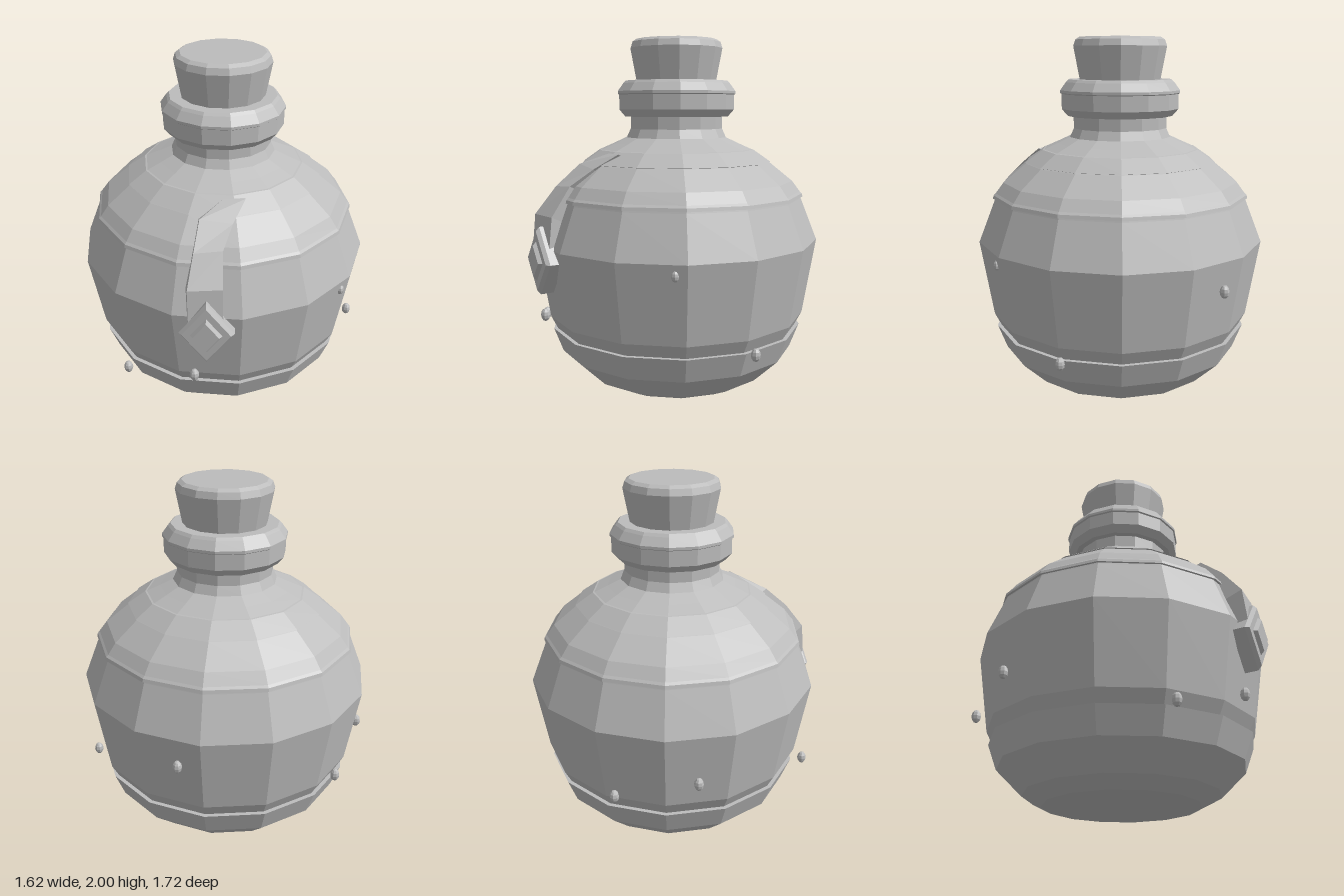
import * as THREE from 'three';

const SIDES = 14;
const CZ = -0.03; // bottle axis

export function createModel() {
  const model = new THREE.Group();
  model.name = 'roundBottle';
  const grey = new THREE.MeshStandardMaterial({ color: 0xbcbcbc });
  grey.name = 'grey';
  grey.flatShading = true;

  const add = (name, geometry, parent = model) => {
    const mesh = new THREE.Mesh(geometry, grey);
    mesh.name = name;
    parent.add(mesh);
    return mesh;
  };

  // Turned part from [radius, height] pairs, bottom to top
  const turned = (name, profile) => {
    const pts = profile.map(([r, y]) => new THREE.Vector2(r, y));
    add(name, new THREE.LatheGeometry(pts, SIDES)).position.z = CZ;
  };

  // Bottle shells
  turned('baseCup', [[0, 0], [0.435, 0], [0.545, 0.055], [0.69, 0.195], [0.743, 0.335], [0.71, 0.335]]);
  turned('belly', [[0.69, 0.3], [0.72, 0.335], [0.758, 0.41], [0.83, 0.85], [0.735, 1.09], [0.725, 1.12]]);
  turned('shoulder', [[0.71, 1.1], [0.745, 1.1], [0.74, 1.118], [0.728, 1.13], [0.683, 1.19],
    [0.553, 1.295], [0.545, 1.3]]);
  turned('upperShoulder', [[0.54, 1.295], [0.556, 1.3], [0.455, 1.37], [0.445, 1.372],
    [0.37, 1.405], [0.295, 1.44], [0.272, 1.49], [0.272, 1.57]]);

  // Lip and stopper
  turned('collar', [[0.26, 1.56], [0.305, 1.56], [0.34, 1.6], [0.34, 1.685], [0.348, 1.69],
    [0.348, 1.705], [0.315, 1.75], [0.3, 1.765], [0.23, 1.765]]);
  turned('stopper', [[0.225, 1.7], [0.235, 1.765], [0.27, 1.95], [0.258, 1.985], [0.235, 2], [0, 2]]);

  // Strap lying over the shoulder: left and right outer edge of each section
  const sections = [
    [[-0.05, 1.36, 0.43], [0.06, 1.36, 0.45]],
    [[-0.19, 1.30, 0.53], [-0.02, 1.28, 0.56]],
    [[-0.235, 1.18, 0.66], [-0.085, 1.19, 0.67]],
    [[-0.28, 1.03, 0.77], [-0.1, 1.03, 0.78]],
    [[-0.28, 0.85, 0.79], [-0.1, 0.85, 0.80]],
  ];
  const pos = [], index = [];
  for (const [l, r] of sections) {
    pos.push(...l, ...r, r[0], r[1] - 0.04, r[2] - 0.09, l[0], l[1] - 0.04, l[2] - 0.09);
  }
  for (let i = 0; i < sections.length - 1; i++) {
    for (let j = 0; j < 4; j++) {
      const a = i * 4 + j, b = i * 4 + (j + 1) % 4;
      index.push(a, a + 4, b, b, a + 4, b + 4);
    }
  }
  const e = (sections.length - 1) * 4;
  index.push(0, 1, 2, 0, 2, 3, e, e + 2, e + 1, e, e + 3, e + 2);
  const strap = new THREE.BufferGeometry();
  strap.setAttribute('position', new THREE.Float32BufferAttribute(pos, 3));
  strap.setIndex(index);
  strap.computeVertexNormals();
  add('strap', strap);

  // Diamond pendant made of stacked four-sided tiers
  const pendant = new THREE.Group();
  pendant.name = 'pendant';
  pendant.position.set(-0.185, 0.785, 0.79);
  pendant.rotation.y = -0.17;
  model.add(pendant);
  const tier = (name, front, back, z0, z1) => {
    const g = new THREE.CylinderGeometry(front, back, z1 - z0, 4);
    g.rotateX(Math.PI / 2);
    g.scale(0.77, 1, 1);
    add(name, g, pendant).position.z = (z0 + z1) / 2;
  };
  tier('pendantPlate', 0.188, 0.188, -0.06, 0.015);
  tier('pendantBevel', 0.165, 0.188, 0.015, 0.035);
  tier('pendantGem', 0.088, 0.108, 0.035, 0.055);

  // Droplets around the belly
  const droplets = [
    [-0.61, 0.34, 0.5, 1], [-0.25, 0.455, 0.74, 1], [0.59, 0.79, 0.52, 0.8], [0.775, 0.34, 0.12, 1],
    [0.46, 0.685, -0.69, 1], [-0.43, 0.47, -0.72, 1], [-0.72, 0.57, -0.38, 1],
  ];
  const drop = new THREE.SphereGeometry(0.026, 8, 6);
  drop.scale(1, 1.42, 1);
  for (const [x, y, z, s] of droplets) {
    const d = add('droplet', drop);
    d.position.set(x, y, z);
    d.scale.setScalar(s);
  }
  return model;
}
